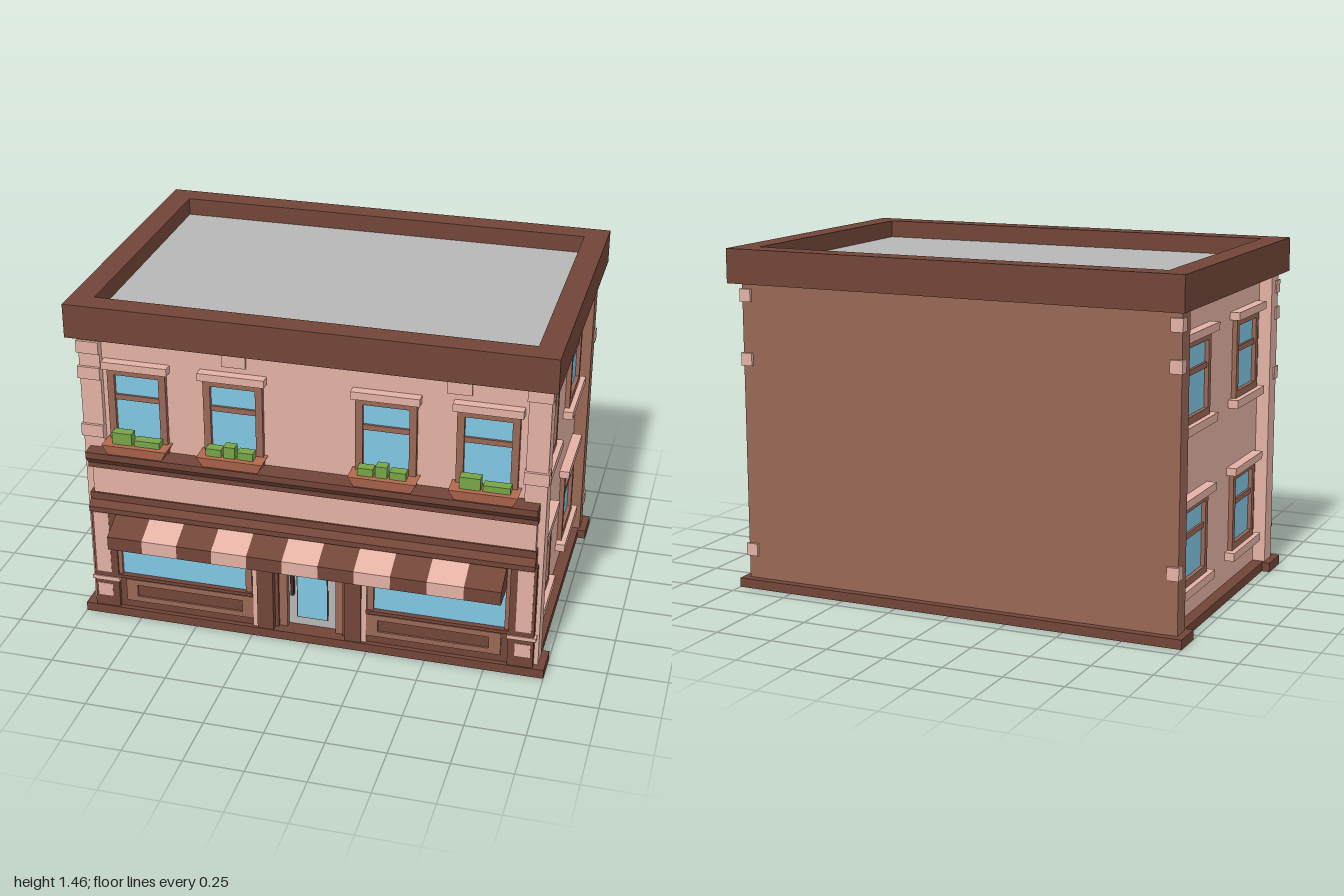
import * as THREE from 'three';

const mat = (name, color) => Object.assign(new THREE.MeshStandardMaterial({ color }), { name });
const M = {
  pink: mat('pink plaster', 0xe3b1a3),
  dark: mat('dark brown trim', 0x724538),
  mid: mat('mid brown', 0x986755),
  glass: mat('window glass', 0x80c6e2),
  grey: mat('grey', 0xb6b6b6),
  green: mat('leaf green', 0x76a447),
  clay: mat('terracotta', 0xb4694f),
  iron: mat('dark handle', 0x3c2a27),
};

// box given by its minimum and maximum on each axis
function box(parent, name, m, x0, x1, y0, y1, z0, z1) {
  const mesh = new THREE.Mesh(new THREE.BoxGeometry(x1 - x0, y1 - y0, z1 - z0), m);
  mesh.position.set((x0 + x1) / 2, (y0 + y1) / 2, (z0 + z1) / 2);
  mesh.name = name;
  parent.add(mesh);
  return mesh;
}

// [z, y] profile swept along x
function sweep(parent, name, m, x0, x1, pts) {
  const shape = new THREE.Shape(pts.map(([z, y]) => new THREE.Vector2(z, y)));
  const geo = new THREE.ExtrudeGeometry(shape, { depth: x1 - x0, bevelEnabled: false });
  geo.rotateY(-Math.PI / 2).translate(x1, 0, 0);
  const mesh = new THREE.Mesh(geo, m);
  mesh.name = name;
  parent.add(mesh);
}

// rectangle with a rectangular hole, extruded along z
function ring(w, h, bw, bh, depth) {
  const rect = (P, a, b) => new P([[-a, -b], [a, -b], [a, b], [-a, b]].map(p => new THREE.Vector2(...p)));
  const s = rect(THREE.Shape, w / 2, h / 2);
  s.holes.push(rect(THREE.Path, w / 2 - bw, h / 2 - bh));
  return new THREE.ExtrudeGeometry(s, { depth, bevelEnabled: false });
}

// sash window facing +z, origin at the centre of its frame on the wall plane
function sashWindow(w, h, trimWidth, hasSill) {
  const g = new THREE.Group();
  g.name = 'window';
  const frame = new THREE.Mesh(ring(w, h, 0.03, 0.03, 0.02), M.mid);
  frame.name = 'windowFrame';
  g.add(frame);
  const a = w / 2 - 0.03, t = trimWidth / 2;
  box(g, 'windowGlass', M.glass, -a, a, -h / 2 + 0.03, h / 2 - 0.03, -0.005, 0.003);
  box(g, 'windowBar', M.mid, -a, a, h / 2 - 0.143, h / 2 - 0.12, 0, 0.013);
  box(g, 'lintel', M.pink, -t, t, h / 2, h / 2 + 0.033, -0.005, 0.042);
  if (hasSill) box(g, 'sill', M.pink, -t, t, -h / 2 - 0.035, -h / 2, -0.005, 0.042);
  return g;
}

// planter that widens upward, with clipped shrubs
function planter(parent, cx, shrubs) {
  const p = box(parent, 'planter', M.clay, cx - 0.14, cx + 0.14, 0.8, 0.845, 0.535, 0.635);
  const pos = p.geometry.attributes.position;
  for (let i = 0; i < pos.count; i++) {
    if (pos.getY(i) > 0) continue;
    pos.setX(i, pos.getX(i) * 0.84);
    if (pos.getZ(i) > 0) pos.setZ(i, pos.getZ(i) - 0.01);
  }
  p.geometry.computeVertexNormals();
  for (const [x0, x1, top] of shrubs) box(parent, 'shrub', M.green, cx + x0, cx + x1, 0.84, top, 0.568, 0.612);
}

export function createModel() {
  const g = new THREE.Group();
  g.name = 'shopBuilding';

  // walls, with a recess left open for the door
  const sideX = 0.915, frontZ = 0.545;
  box(g, 'sideWalls', M.pink, -sideX, sideX, 0.03, 1.33, -0.6, 0.49);
  box(g, 'backWall', M.mid, -0.97, 0.97, 0.03, 1.33, -0.655, -0.57);
  box(g, 'upperFrontWall', M.pink, -0.9, 0.9, 0.5, 1.33, 0.48, frontZ);
  for (const s of [-1, 1]) {
    const span = (a, b) => (s > 0 ? [a, b] : [-b, -a]);
    box(g, 'frontCornerPier', M.pink, ...span(0.88, 0.97), 0.03, 1.33, 0.48, 0.57);
    // plinth blocks at the corners
    box(g, 'plinthCorner', M.dark, ...span(0.86, 1), 0, 0.04, 0.46, 0.605);
    box(g, 'plinthCorner', M.dark, ...span(0.86, 1), 0, 0.04, -0.69, -0.55);
  }
  box(g, 'plinth', M.dark, -0.965, 0.965, 0, 0.04, -0.69, 0.605);

  // roof parapet and roof deck
  const parapet = new THREE.Mesh(ring(2, 1.354, 0.1, 0.1, 0.145), M.dark);
  parapet.rotation.x = -Math.PI / 2;
  parapet.position.set(0, 1.315, -0.045);
  parapet.name = 'parapet';
  g.add(parapet);
  box(g, 'roofDeck', M.grey, -0.9, 0.9, 1.335, 1.385, -0.622, 0.532);
  box(g, 'parapetUnderside', M.dark, -0.93, 0.93, 1.316, 1.335, -0.645, 0.54);

  // corner stones: side, y, whether on the front
  const stones = [
    [-1, 1.255, 1], [-1, 1.14, 1], [-1, 0.877, 1], [1, 1.272, 1], [1, 0.91, 1],
    [1, 1.26, 0], [1, 0.99, 0], [1, 0.165, 0], [-1, 1.26, 0], [-1, 1.1, 0], [-1, 0.29, 0],
  ];
  for (const [s, y, front] of stones) {
    const [x0, x1] = s > 0 ? [front ? 0.875 : 0.925, 0.976] : [-0.976, front ? -0.88 : -0.925];
    const [z0, z1] = front ? [0.53, 0.582] : [-0.668, -0.62];
    box(g, 'cornerStone', M.pink, x0, x1, y - 0.027, y + 0.027, z0, z1);
  }
  for (const x of [-0.315, 0.605]) box(g, 'wallStone', M.pink, x - 0.05, x + 0.05, 1.228, 1.282, 0.53, frontZ + 0.012);

  // upper front windows and planters
  const pair = [[-0.105, -0.04, 0.878], [-0.03, 0.018, 0.895], [0.028, 0.095, 0.878]];
  const wide = [[-0.1, -0.015, 0.897], [-0.005, 0.105, 0.872]];
  for (const [x, shrubs] of [[-0.73, wide], [-0.32, pair], [0.315, pair], [0.725, wide]]) {
    const w = sashWindow(0.25, 0.37, 0.28, false);
    w.position.set(x, 0.983, frontZ);
    g.add(w);
    planter(g, x, shrubs);
  }

  // side windows
  for (const s of [-1, 1]) for (const z of [0.265, -0.355]) for (const y of [1.003, 0.345]) {
    const w = sashWindow(0.29, 0.335, 0.365, true);
    w.rotation.y = s * Math.PI / 2;
    w.position.set(s * sideX, y, z);
    g.add(w);
  }

  // sign band between two cornices
  box(g, 'signBand', M.pink, -0.93, 0.94, 0.59, 0.73, 0.53, 0.6);
  sweep(g, 'upperCornice', M.dark, -0.945, 0.945,
    [[0.53, 0.72], [0.607, 0.72], [0.607, 0.742], [0.632, 0.772], [0.632, 0.8], [0.53, 0.8]]);
  sweep(g, 'lowerCornice', M.dark, -0.945, 0.945,
    [[0.53, 0.52], [0.632, 0.52], [0.632, 0.543], [0.607, 0.568], [0.607, 0.6], [0.53, 0.6]]);

  // striped awning
  const stripe = 1.665 / 11;
  for (let i = 0; i < 11; i++) {
    const x = -0.835 + i * stripe;
    sweep(g, 'awningStripe', i % 2 ? M.pink : M.dark, x, x + stripe,
      [[0.57, 0.4], [0.72, 0.4], [0.72, 0.46], [0.6, 0.515], [0.57, 0.515]]);
  }

  // shop front, the same on both sides of the door
  for (const s of [-1, 1]) {
    const part = (name, m, a, b, ...r) => box(g, name, m, s > 0 ? a : -b, s > 0 ? b : -a, ...r);
    part('shopBacking', M.dark, 0.14, 0.95, 0.03, 0.52, 0.48, 0.572);
    // outer pilaster with inset panels
    part('pilaster', M.dark, 0.845, 0.952, 0.04, 0.52, 0.56, 0.6);
    part('pilasterPanel', M.pink, 0.875, 0.94, 0.21, 0.5, 0.597, 0.602);
    part('pilasterBasePanel', M.pink, 0.875, 0.94, 0.09, 0.15, 0.597, 0.602);
    part('pilasterLedge', M.pink, 0.84, 0.962, 0.17, 0.187, 0.575, 0.605);
    // display window and stall riser
    part('displayGlass', M.glass, 0.275, 0.83, 0.205, 0.5, 0.57, 0.578);
    part('displayFrame', M.mid, 0.25, 0.277, 0.19, 0.52, 0.56, 0.592);
    part('displayFrame', M.mid, 0.828, 0.847, 0.19, 0.52, 0.56, 0.592);
    part('displaySill', M.dark, 0.247, 0.847, 0.19, 0.205, 0.56, 0.603);
    part('stallRiser', M.dark, 0.247, 0.847, 0.04, 0.19, 0.56, 0.584);
    const frame = new THREE.Mesh(ring(0.57, 0.105, 0.05, 0.025, 0.008), M.mid);
    frame.position.set(s * 0.53, 0.128, 0.584);
    frame.name = 'riserPanelFrame';
    g.add(frame);
    // door surround
    part('doorReveal', M.pink, 0.225, 0.247, 0.04, 0.5, 0.56, 0.592);
    part('doorPillar', M.dark, 0.155, 0.225, 0.04, 0.52, 0.56, 0.602);
    part('doorPillarCap', M.dark, 0.145, 0.23, 0.5, 0.52, 0.56, 0.612);
    part('doorJamb', M.mid, 0.105, 0.14, 0.04, 0.52, 0.48, 0.56);
  }

  // recessed door
  const door = new THREE.Group();
  door.name = 'door';
  box(door, 'doorLeaf', M.grey, -0.108, 0.108, 0.04, 0.5, 0.48, 0.53);
  box(door, 'doorGlassEdge', M.iron, -0.071, 0.066, 0.076, 0.396, 0.528, 0.532);
  box(door, 'doorGlass', M.glass, -0.066, 0.061, 0.081, 0.391, 0.53, 0.535);
  box(door, 'doorHandle', M.iron, -0.094, -0.08, 0.19, 0.29, 0.53, 0.55);
  g.add(door);
  return g;
}
